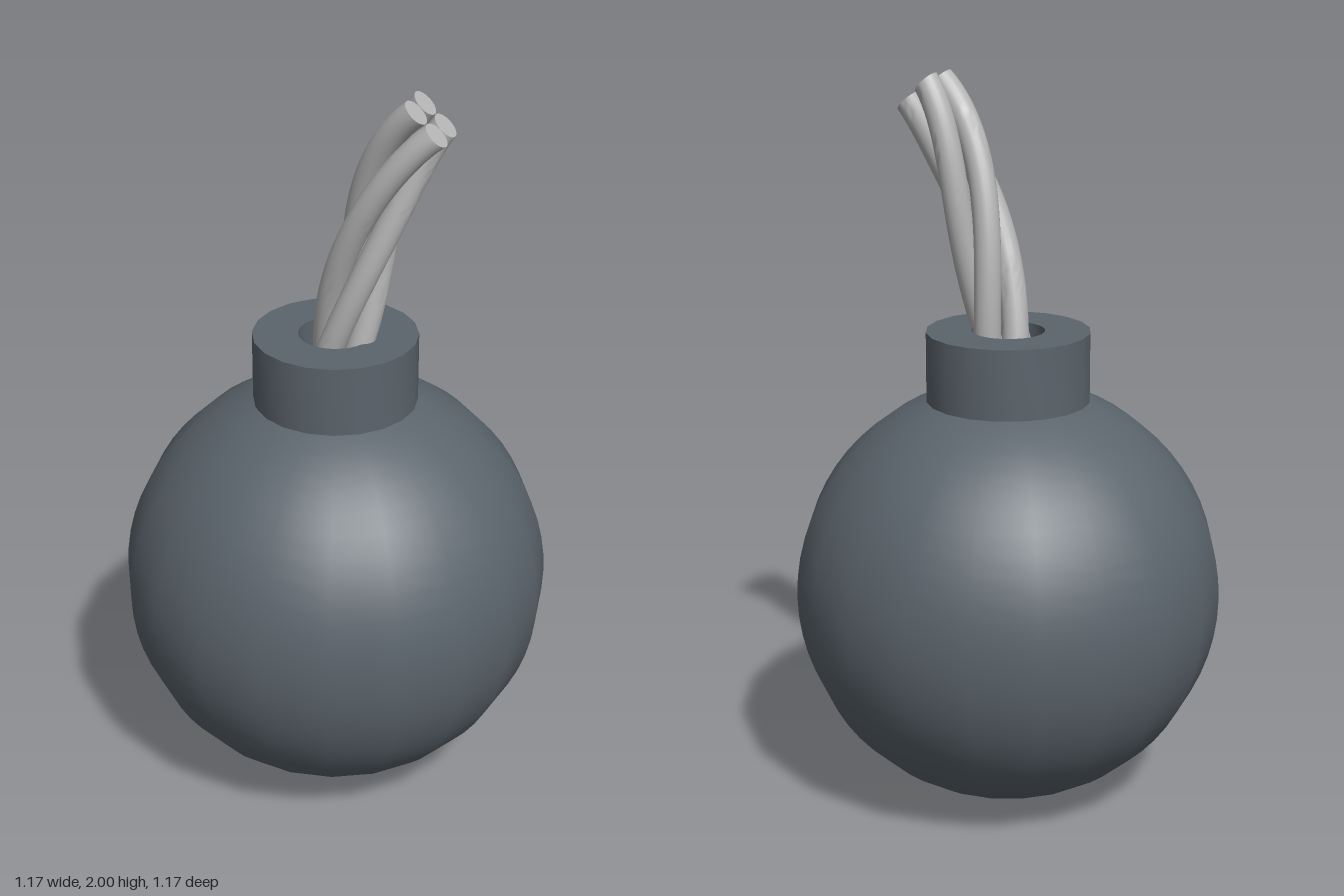
import * as THREE from 'three';
import { toCreasedNormals } from 'three/addons/utils/BufferGeometryUtils.js';

const iron = new THREE.MeshStandardMaterial({ color: 0x5b646c });
iron.name = 'dark iron';
const cord = new THREE.MeshStandardMaterial({ color: 0xb5b5b5 });
cord.name = 'grey cord';

function add(group, name, geometry, material) {
  const mesh = new THREE.Mesh(geometry, material);
  mesh.name = name;
  group.add(mesh);
  return mesh;
}

// One strand: a cylinder bent along the fuse path while winding half a turn around it
function strandGeometry(path, startAngle) {
  const geometry = new THREE.CylinderGeometry(0.037, 0.037, 1, 20, 40);
  const pos = geometry.attributes.position;
  const spread = 0.0535;
  for (let i = 0; i < pos.count; i++) {
    const t = THREE.MathUtils.clamp(pos.getY(i) + 0.5, 0, 1);
    const centre = path.getPointAt(t);
    const tangent = path.getTangentAt(t);
    const angle = startAngle - Math.PI * t;
    const across = pos.getX(i) + spread * Math.cos(angle);
    const depth = pos.getZ(i) + spread * Math.sin(angle);
    pos.setXYZ(i, centre.x + tangent.y * across, centre.y - tangent.x * across, depth);
  }
  return toCreasedNormals(geometry, 0.9);
}

export function createModel() {
  const model = new THREE.Group();
  model.name = 'roundBomb';

  // Round body
  const body = add(model, 'body', new THREE.SphereGeometry(0.586, 20, 32), iron);
  body.position.y = 0.586;

  // Collar with a hole for the fuse
  const profile = [[0.223, 1.1], [0.223, 1.32], [0.1, 1.32], [0.1, 1.18], [0, 1.18]]
    .map(([r, y]) => new THREE.Vector2(r, y));
  add(model, 'collar', toCreasedNormals(new THREE.LatheGeometry(profile, 20), 0.9), iron);

  // Fuse of four twisted strands
  const fuse = new THREE.Group();
  fuse.name = 'fuse';
  const path = new THREE.QuadraticBezierCurve3(
    new THREE.Vector3(0, 1.17, 0),
    new THREE.Vector3(0.09, 1.78, 0),
    new THREE.Vector3(0.252, 1.948, 0)
  );
  for (let i = 0; i < 4; i++) {
    add(fuse, `fuseStrand${i + 1}`, strandGeometry(path, Math.PI / 4 + i * Math.PI / 2), cord);
  }
  model.add(fuse);

  return model;
}
